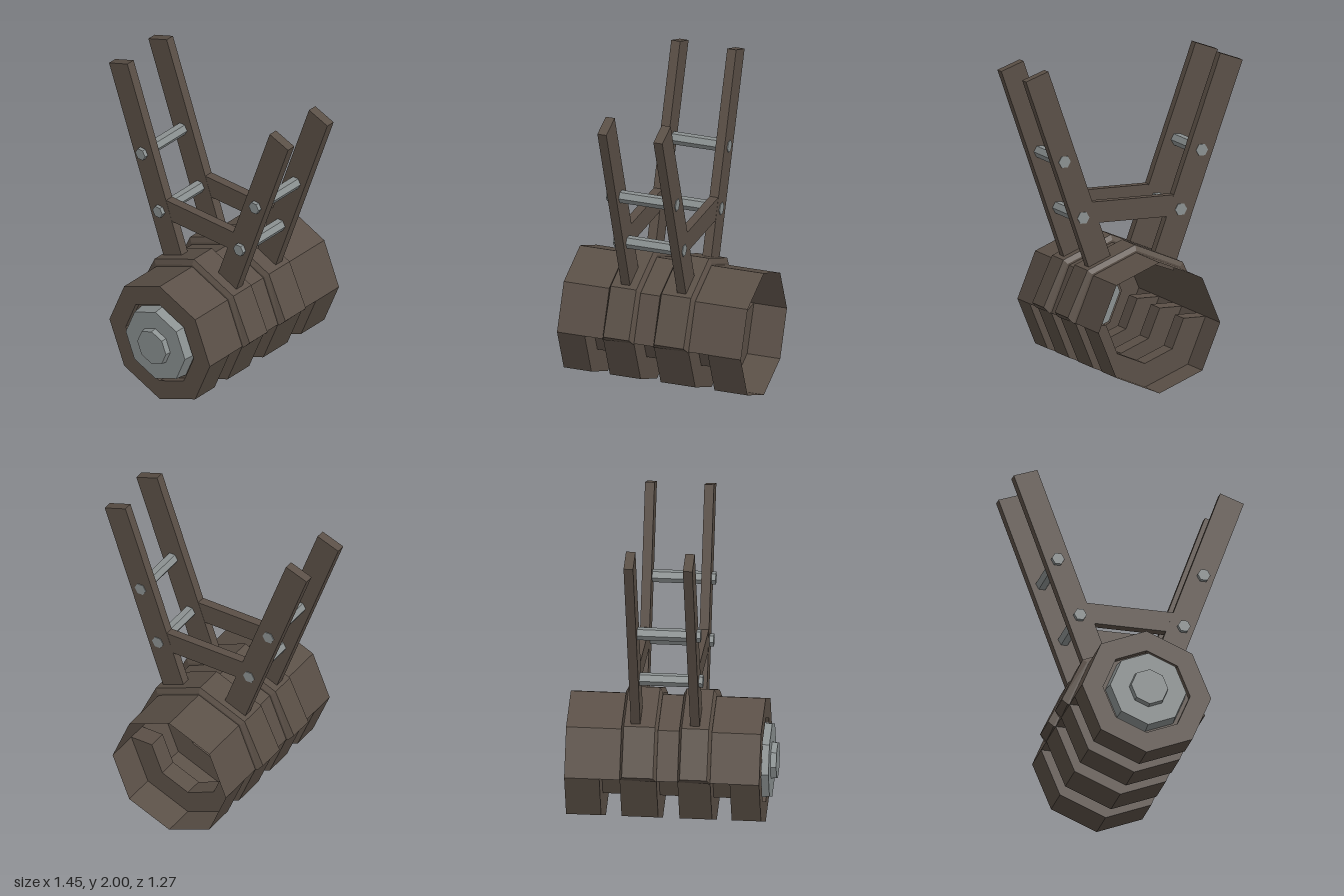
import * as THREE from 'three';

const brown = new THREE.MeshStandardMaterial({ color: 0x5a4f46, flatShading: true, side: THREE.DoubleSide });
brown.name = 'dark brown casing';
const grey = new THREE.MeshStandardMaterial({ color: 0x8a9090, flatShading: true });
grey.name = 'grey metal';

const CX = 0.01, CY = 0.41, R = 0.407, CORE = 0.26;
const BACK = -0.635, FRONT = 0.56;

function add(parent, name, geometry, material, x = 0, y = 0, z = 0) {
  const mesh = new THREE.Mesh(geometry, material);
  mesh.name = name;
  mesh.position.set(x, y, z);
  parent.add(mesh);
  return mesh;
}

// Half of an octagonal turned shape along z; profile is [radius, z] from back to front
function halfTurn(profile, upper) {
  const points = profile.map(([r, z]) => new THREE.Vector2(r, z));
  const geometry = new THREE.LatheGeometry(points, 4, upper ? Math.PI / 2 : -Math.PI / 2, Math.PI);
  return geometry.rotateX(Math.PI / 2);
}

// Octagonal or hexagonal bar along z with a corner at the given turn
function bar(rFront, rBack, length, sides, turn) {
  return new THREE.CylinderGeometry(rFront, rBack, length, sides).rotateY(turn).rotateX(Math.PI / 2);
}

export function createModel() {
  const model = new THREE.Group();
  model.name = 'barrelWithForkedArms';

  // Hollow casing, open at the back, with a socket in the front face
  const casing = new THREE.Group();
  casing.name = 'casing';
  casing.position.set(CX, CY, 0);
  model.add(casing);
  const face = [[R, FRONT], [0.275, FRONT], [0.275, 0.52], [0.2, 0.52]];
  add(casing, 'upperShell', halfTurn([[R, BACK], ...face], true), brown);

  // Lower shell with three grooves cut down to the core
  const grooves = [[-0.42, -0.295], [-0.07, 0.06], [0.26, 0.38]];
  const lower = [[R, BACK]];
  for (const [a, b] of grooves) lower.push([R, a], [CORE, a], [CORE, b], [R, b]);
  add(casing, 'lowerShell', halfTurn([...lower, ...face], false), brown);
  for (const [a, b] of grooves) {
    for (const side of [-1, 1]) {
      const ledge = new THREE.PlaneGeometry(R - CORE, b - a).rotateX(Math.PI / 2);
      add(casing, 'grooveLedge', ledge, brown, side * (R + CORE) / 2, 0, (a + b) / 2);
    }
  }

  // Raised bevelled bands over the upper half
  for (const [a, b] of [[-0.295, -0.07], [0.06, 0.26]]) {
    const profile = [[R, a], [0.42, a], [0.452, a + 0.017], [0.452, b - 0.017], [0.42, b], [R, b]];
    const band = halfTurn(profile, true);
    const p = band.attributes.position;
    // lift the outer rim at both ends to bevel it
    for (let i = 0; i < p.count; i++) {
      if (Math.abs(p.getX(i)) > 0.44 && Math.abs(p.getY(i)) < 0.01) p.setY(i, 0.035);
    }
    band.computeVertexNormals();
    add(casing, 'raisedBand', band, brown);
    for (const side of [-1, 1]) {
      const s = new THREE.Shape([
        new THREE.Vector2(R, a), new THREE.Vector2(0.42, a),
        new THREE.Vector2(0.45, a + 0.017), new THREE.Vector2(0.45, b - 0.017),
        new THREE.Vector2(0.42, b), new THREE.Vector2(R, b)]);
      const end = new THREE.ShapeGeometry(s).rotateX(Math.PI / 2);
      const q = end.attributes.position;
      for (let i = 0; i < q.count; i++) {
        if (q.getX(i) > 0.44) q.setY(i, 0.035);
        q.setX(i, q.getX(i) * side);
      }
      end.computeVertexNormals();
      add(casing, 'bandEnd', end, brown);
    }
  }

  // Stepped front cap
  add(casing, 'frontCap', bar(0.24, 0.253, 0.1, 8, 0), grey, 0, 0, 0.55);
  add(casing, 'capBoss', bar(0.116, 0.122, 0.04, 8, 0), grey, 0, 0, 0.615);

  // Two forked frames: a pair of splayed arms and a crossbar
  const arms = [
    { top: [-0.655, 1.9725], foot: [-0.19, 0.70] },
    { top: [0.648, 1.9525], foot: [0.205, 0.70] },
  ];
  for (const z of [0.156, -0.208]) {
    const frame = new THREE.Group();
    frame.name = z > 0 ? 'frontFrame' : 'rearFrame';
    frame.position.z = z;
    model.add(frame);
    for (const { top, foot } of arms) {
      const dx = top[0] - foot[0], dy = top[1] - foot[1];
      const arm = add(frame, 'arm', new THREE.BoxGeometry(0.158, Math.hypot(dx, dy), 0.058), brown,
        (top[0] + foot[0]) / 2, (top[1] + foot[1]) / 2, 0);
      arm.rotation.z = -Math.atan2(dx, dy);
    }
    add(frame, 'crossbar', new THREE.BoxGeometry(0.58, 0.132, 0.056), brown, 0.01, 1.077, 0);
  }

  // Hexagonal rods joining the frames
  for (const [x, y] of [[-0.455, 1.408], [0.465, 1.408], [-0.315, 1.05], [0.34, 1.05]]) {
    add(model, 'tieRod', bar(0.04, 0.04, 0.452, 6, Math.PI / 6), grey, x, y, -0.016);
  }

  return model;
}
